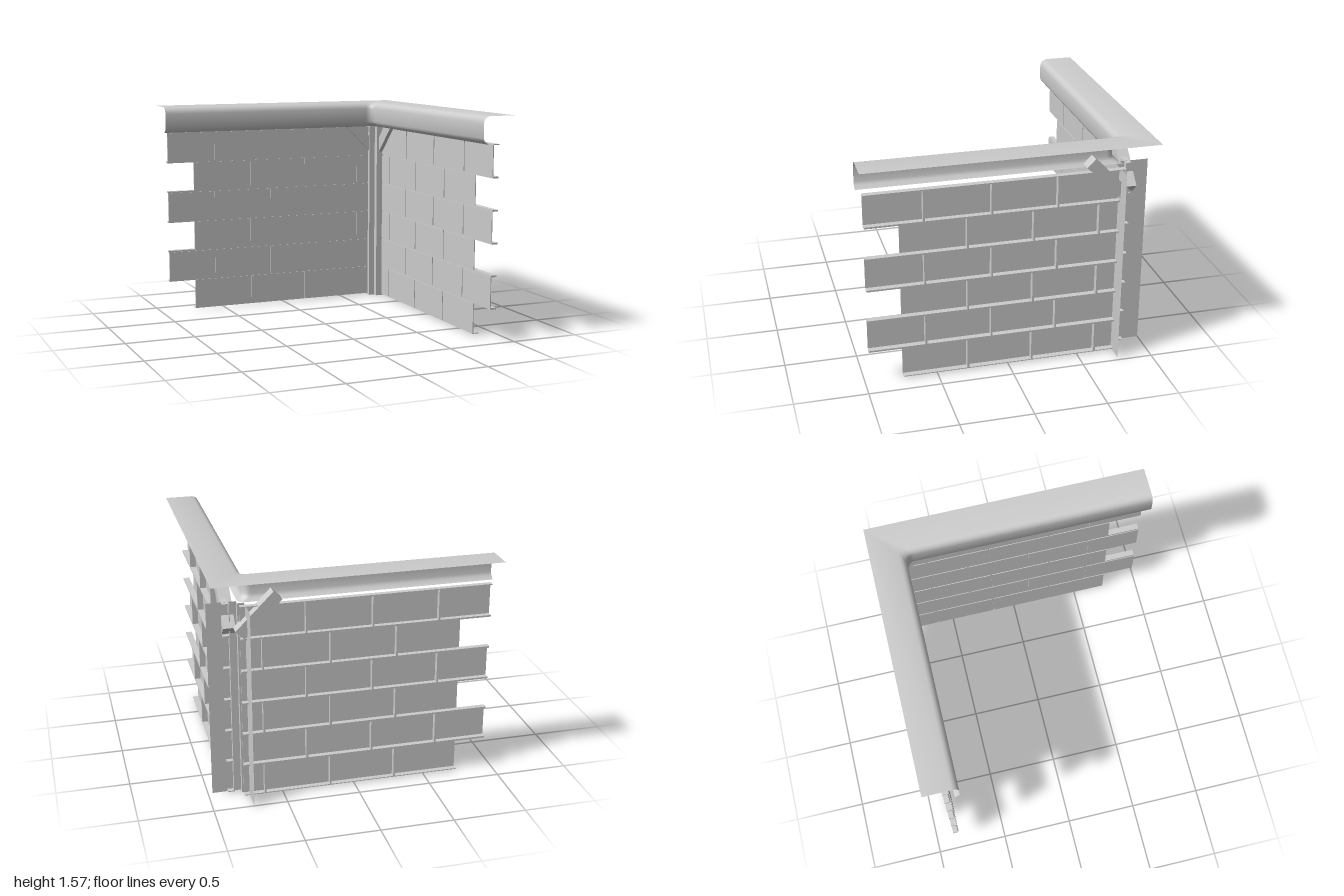
import * as THREE from 'three';
import { toCreasedNormals } from 'three/addons/utils/BufferGeometryUtils.js';

const material = new THREE.MeshStandardMaterial({ color: 0xcccccc });
const sheetMaterial = new THREE.MeshStandardMaterial({ color: 0xcccccc, side: THREE.DoubleSide });

// Open sheet through equally long rows of [x, y, z] points
function loft(name, rows) {
  const n = rows[0].length, index = [];
  for (let i = 0; i < rows.length - 1; i++) {
    for (let j = 0; j < n - 1; j++) {
      const a = i * n + j, b = a + n;
      index.push(a, b, a + 1, b, b + 1, a + 1);
    }
  }
  const geometry = new THREE.BufferGeometry();
  geometry.setAttribute('position', new THREE.Float32BufferAttribute(rows.flat(2), 3));
  geometry.setIndex(index);
  const mesh = new THREE.Mesh(toCreasedNormals(geometry, 0.6), sheetMaterial);
  mesh.name = name;
  return mesh;
}

// Brick panel: u runs towards the corner, depth runs outwards from the room
function brickWall(name, front, back, uStart, uEnd, place) {
  const wall = new THREE.Group();
  wall.name = name;
  const box = (part, u0, u1, y0, y1, d0, d1) => {
    const a = new THREE.Vector3(...place(u0, y0, d0));
    const b = new THREE.Vector3(...place(u1, y1, d1));
    const mid = a.clone().add(b).multiplyScalar(0.5);
    const size = b.sub(a);
    const mesh = new THREE.Mesh(
      new THREE.BoxGeometry(Math.abs(size.x), Math.abs(size.y), Math.abs(size.z)), material);
    mesh.position.copy(mid);
    mesh.name = part;
    wall.add(mesh);
  };
  const bottom = 0.012, pitch = 0.2275, gap = 0.006, skin = 0.006;
  for (let row = 0; row < 6; row++) {
    const y0 = bottom + row * pitch, y1 = y0 + pitch;
    const joints = row % 2 ? [uStart, -0.575, -0.12, 0.332, uEnd] : [-0.735, -0.285, 0.168, 0.623, uEnd];
    for (let i = 0; i < joints.length - 1; i++) {
      const u0 = joints[i] + (i ? gap : 0);
      const u1 = joints[i + 1] - (i < joints.length - 2 ? gap : 0);
      box('brick', u0, u1, y0 + (row ? gap : 0), y1 - gap, front, front + skin);
      // Upright mortar channel
      if (i) box('uprightJoint', joints[i] - gap, joints[i] + gap, y0, y1, front + 0.005, back);
    }
    // Mortar ledge under the row, as long as the longer neighbour
    const start = row ? uStart : -0.735;
    box('ledge', start, uEnd, row ? y0 - gap : y0, y0 + gap, front + 0.005, back);
  }
  const top = bottom + 6 * pitch;
  box('ledge', uStart, uEnd, top - gap, top, front + 0.005, back);
  return wall;
}

// Coping with a rounded nose, swept round the inner corner
function coping() {
  const width = 0.243, inX = 0.727, inZ = -0.757;
  const profile = [[width, 1.57], [0.045, 1.57], [0.026, 1.564], [0.011, 1.552], [0.003, 1.537],
    [0, 1.52], [0, 1.42], [0.008, 1.4], [0.038, 1.378]];
  const rows = [profile.map(([o, y]) => [-0.97, y, inZ - o])];
  for (let k = 0; k <= 8; k++) {
    const t = (k / 8) * Math.PI / 2;
    rows.push(profile.map(([o, y]) => {
      const r = 0.055 * (1 - o / width);
      return [inX + o - r + r * Math.sin(t), y, inZ - o + r - r * Math.cos(t)];
    }));
  }
  rows.push(profile.map(([o, y]) => [inX + o, y, 1]));
  return loft('coping', rows);
}

// Folded corner post with a small step in its inner corner
function cornerPost() {
  const plan = [[0.97, -0.762], [0.772, -0.762], [0.772, -0.802], [0.727, -0.802], [0.727, -1]];
  return loft('cornerPost', [0, 1.378].map((y) => plan.map(([x, z]) => [x, y, z])));
}

// Diagonal square braces behind the coping
function brace(name, size, position, axis, angle) {
  const mesh = new THREE.Mesh(new THREE.BoxGeometry(...size), material);
  mesh.position.set(...position);
  mesh.rotation[axis] = angle;
  mesh.name = name;
  return mesh;
}

export function createModel() {
  const model = new THREE.Group();
  model.name = 'brickCorner';
  model.add(
    brickWall('backWall', 0.83, 0.872, -0.938, 0.765, (u, y, d) => [u, y, -d]),
    brickWall('sideWall', 0.82, 0.868, -0.968, 0.797, (u, y, d) => [d, y, -u]),
    cornerPost(),
    coping(),
    brace('backBrace', [0.354, 0.082, 0.082], [0.65, 1.318, -0.857], 'z', -Math.PI / 4),
    brace('sideBrace', [0.082, 0.082, 0.354], [0.83, 1.318, -0.675], 'x', -Math.PI / 4),
  );
  return model;
}
